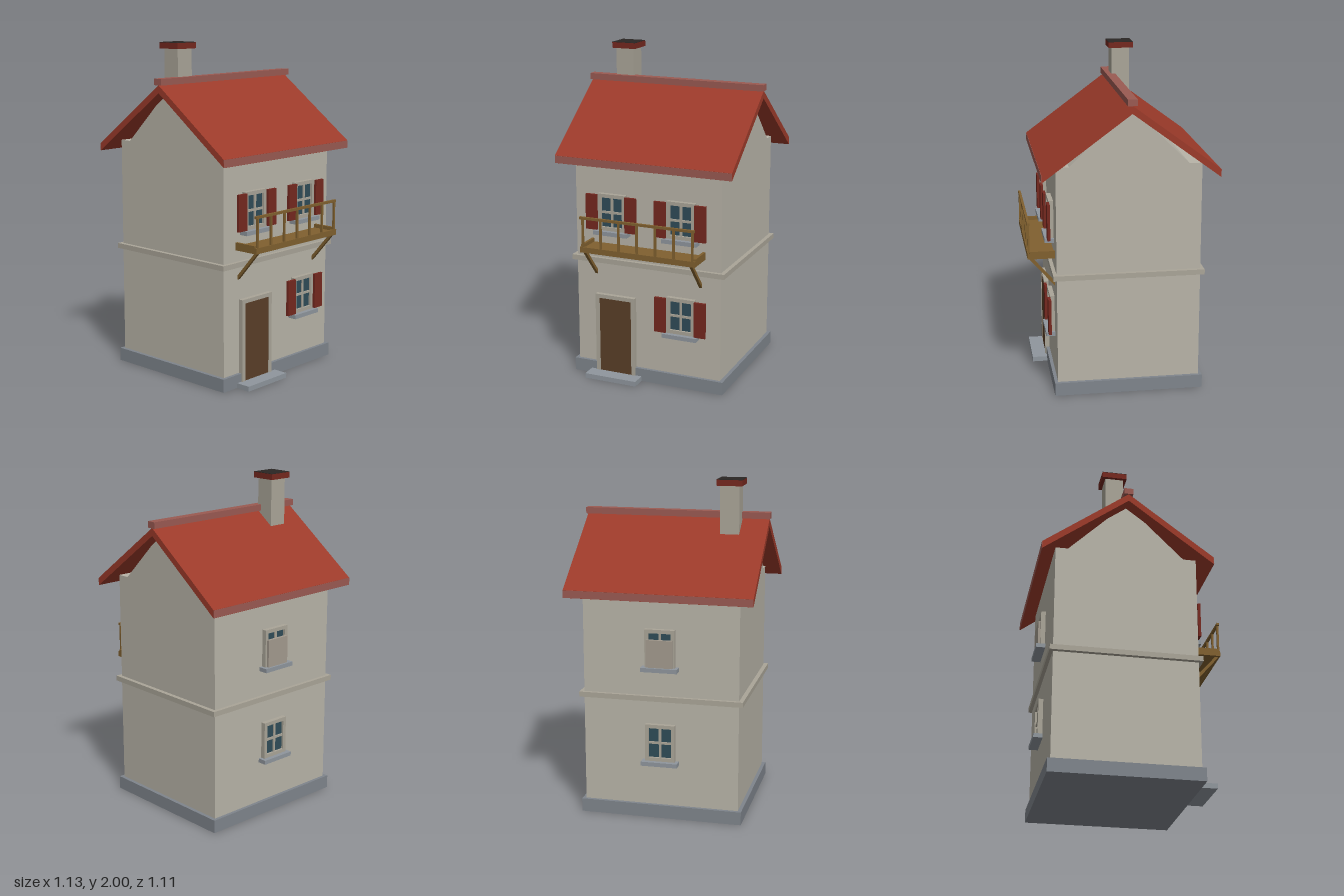
import * as THREE from 'three';

const FRONT = 0.393, BACK = -0.46, RIDGE_Z = -0.035;

const paint = (color) => new THREE.MeshStandardMaterial({ color });
const MAT = {
  wall: paint(0xb8b4a8), trim: paint(0xaaa598), stone: paint(0x7f858c), sill: paint(0x8f969d),
  roof: paint(0x9c3a2a), ridge: paint(0x9a5a52), shutter: paint(0x75281f), glass: paint(0x2f4c58),
  door: paint(0x5a3f28), wood: paint(0x80602f), soot: paint(0x2a2624), panel: paint(0xa39a8e),
};

// Box given by its extents along each axis
function box(name, mat, [x0, x1], [y0, y1], [z0, z1]) {
  const mesh = new THREE.Mesh(new THREE.BoxGeometry(x1 - x0, y1 - y0, z1 - z0), mat);
  mesh.position.set((x0 + x1) / 2, (y0 + y1) / 2, (z0 + z1) / 2);
  mesh.name = name;
  return mesh;
}

// Profile of [z, y] points extruded along x, centred on x = 0
function prism(name, mat, profile, width) {
  const shape = new THREE.Shape(profile.map(([z, y]) => new THREE.Vector2(z, y)));
  const geo = new THREE.ExtrudeGeometry(shape, { depth: width, bevelEnabled: false });
  geo.rotateY(-Math.PI / 2).translate(width / 2, 0, 0);
  const mesh = new THREE.Mesh(geo, mat);
  mesh.name = name;
  return mesh;
}

// Window standing on the local origin, facing +z, wall at z = 0
function makeWindow(name, { shutters = false, panel = false } = {}) {
  const g = new THREE.Group();
  g.name = name;
  const w = 0.09, h = 0.225, b = 0.022, d = 0.028;
  const outer = new THREE.Shape([[-w, 0], [w, 0], [w, h], [-w, h]].map((p) => new THREE.Vector2(...p)));
  outer.holes.push(new THREE.Path(
    [[-w + b, b], [-w + b, h - b], [w - b, h - b], [w - b, b]].map((p) => new THREE.Vector2(...p))));
  const frame = new THREE.Mesh(new THREE.ExtrudeGeometry(outer, { depth: d, bevelEnabled: false }), MAT.trim);
  frame.name = 'windowFrame';
  g.add(frame,
    box('windowGlass', MAT.glass, [-w + b, w - b], [b, h - b], [0, 0.014]),
    box('mullion', MAT.trim, [-0.007, 0.007], [b, h - b], [0.01, 0.022]),
    box('crossbar', MAT.trim, [-w + b, w - b], [h / 2 - 0.007, h / 2 + 0.007], [0.01, 0.022]),
    box('windowSill', MAT.sill, [-0.11, 0.11], [-0.025, 0], [0, 0.055]));
  if (shutters) for (const s of [-1, 1]) {
    g.add(box('shutter', MAT.shutter, [s * 0.127 - 0.036, s * 0.127 + 0.036], [0.003, 0.22], [0.026, 0.043]));
  }
  if (panel) g.add(box('windowPanel', MAT.panel, [-0.078, 0.078], [0, 0.165], [0.024, 0.042]));
  return g;
}

function makeRoof() {
  const g = new THREE.Group();
  g.name = 'roof';
  for (const s of [-1, 1]) {
    const edge = RIDGE_Z + s * 0.515;
    g.add(prism('roofSlope', MAT.roof,
      [[RIDGE_Z, 1.763], [edge, 1.382], [edge, 1.336], [RIDGE_Z, 1.717]], 1.118));
    // Pale strip along the eave
    g.add(box('eaveStrip', MAT.ridge, [-0.559, 0.559], [1.337, 1.381],
      s > 0 ? [edge - 0.001, edge + 0.002] : [edge - 0.002, edge + 0.001]));
  }
  g.add(box('ridgeCap', MAT.ridge, [-0.565, 0.565], [1.762, 1.8], [RIDGE_Z - 0.028, RIDGE_Z + 0.028]));
  return g;
}

function makeChimney() {
  const g = new THREE.Group();
  g.name = 'chimney';
  g.add(box('chimneyStack', MAT.trim, [-0.398, -0.283], [1.58, 1.965], [-0.15, -0.038]),
    box('chimneyCap', MAT.shutter, [-0.417, -0.265], [1.963, 1.998], [-0.171, -0.019]),
    box('chimneyTop', MAT.soot, [-0.417, -0.265], [1.998, 2.0], [-0.171, -0.019]));
  return g;
}

function makeDoor() {
  const g = new THREE.Group();
  g.name = 'doorway';
  g.add(box('doorLeaf', MAT.door, [-0.312, -0.102], [0.03, 0.503], [FRONT - 0.01, 0.417]),
    box('doorJamb', MAT.trim, [-0.338, -0.312], [0.03, 0.527], [FRONT - 0.01, 0.421]),
    box('doorJamb', MAT.trim, [-0.102, -0.078], [0.03, 0.527], [FRONT - 0.01, 0.421]),
    box('doorLintel', MAT.trim, [-0.312, -0.102], [0.503, 0.527], [FRONT - 0.01, 0.421]),
    box('doorStep', MAT.sill, [-0.375, -0.037], [0, 0.03], [FRONT, 0.505]));
  return g;
}

function makeBalcony() {
  const g = new THREE.Group();
  g.name = 'balcony';
  g.add(box('balconyDeck', MAT.wood, [-0.352, 0.352], [0.83, 0.85], [FRONT, 0.54]),
    box('deckFrontBoard', MAT.wood, [-0.368, 0.368], [0.826, 0.86], [0.537, 0.553]),
    box('handrail', MAT.wood, [-0.368, 0.362], [1.03, 1.045], [0.538, 0.553]));
  for (let i = -3; i <= 3; i++) {
    const x = i * 0.1165;
    g.add(box('baluster', MAT.wood, [x - 0.006, x + 0.006], [0.85, 1.032], [0.54, 0.552]));
  }
  for (const s of [-1, 1]) {
    g.add(box('deckSideBoard', MAT.wood, [s * 0.36 - 0.008, s * 0.36 + 0.008], [0.826, 0.872], [FRONT, 0.54]));
    // Diagonal bracket down to the wall
    const bracket = prism('balconyBracket', MAT.wood,
      [[0.548, 0.828], [0.526, 0.828], [FRONT - 0.003, 0.672], [FRONT - 0.003, 0.645]], 0.018);
    bracket.position.x = s * 0.34;
    g.add(bracket);
  }
  return g;
}

export function createModel() {
  const house = new THREE.Group();
  house.name = 'house';

  // Walls with gable ends, plinth and storey band
  house.add(
    prism('walls', MAT.wall, [[FRONT, 0.05], [FRONT, 1.4], [RIDGE_Z + 0.35, 1.4], [RIDGE_Z, 1.745],
      [RIDGE_Z - 0.35, 1.4], [BACK, 1.4], [BACK, 0.05]], 0.936),
    box('plinth', MAT.stone, [-0.49, 0.49], [0, 0.08], [-0.48, 0.413]),
    box('storeyBand', MAT.trim, [-0.494, 0.494], [0.726, 0.757], [-0.482, 0.415]));

  house.add(makeRoof(), makeChimney(), makeDoor(), makeBalcony());

  // Front windows with shutters
  for (const [x, y] of [[-0.222, 0.936], [0.222, 0.936], [0.222, 0.346]]) {
    const win = makeWindow('frontWindow', { shutters: true });
    win.position.set(x, y, FRONT);
    house.add(win);
  }
  // Back windows, the upper one partly covered
  for (const [y, panel] of [[0.36, false], [0.936, true]]) {
    const win = makeWindow('backWindow', { panel });
    win.position.set(0, y, BACK);
    win.rotation.y = Math.PI;
    house.add(win);
  }
  return house;
}
